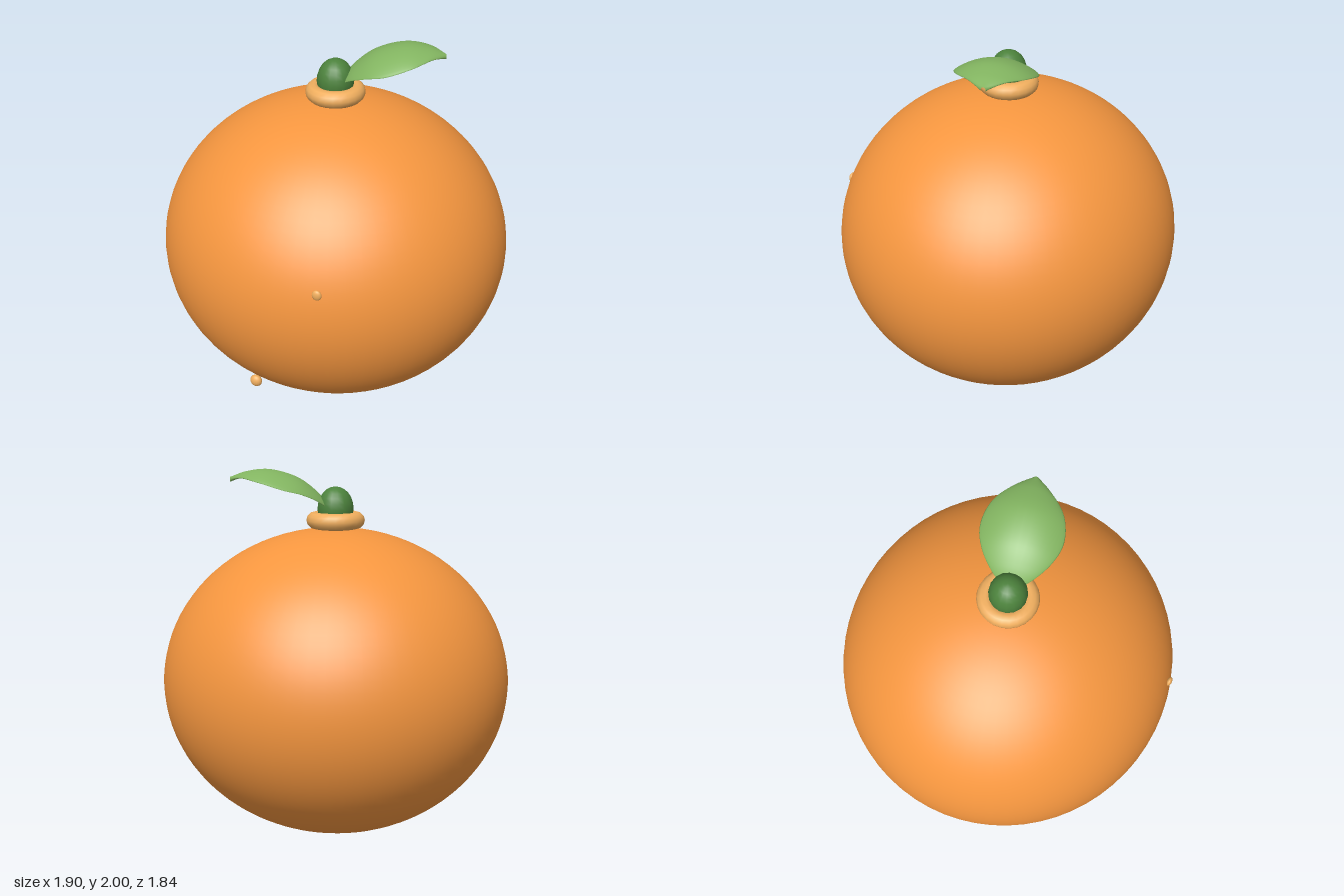
import * as THREE from 'three';
import { ParametricGeometry } from 'three/addons/geometries/ParametricGeometry.js';

const material = (color) => new THREE.MeshStandardMaterial({ color });
const peel = material(0xf5963f);
const pale = material(0xf0ae5e);
const stemGreen = material(0x4c823c);
const leafGreen = material(0x82b460);

function addMesh(parent, name, geometry, mat, x = 0, y = 0, z = 0) {
  const mesh = new THREE.Mesh(geometry, mat);
  mesh.name = name;
  mesh.position.set(x, y, z);
  parent.add(mesh);
  return mesh;
}

function ellipsoid(rx, ry, rz, across = 16, down = 12) {
  return new THREE.SphereGeometry(1, across, down).scale(rx, ry, rz);
}

// Cupped leaf: a thin closed section swept along an arched midrib
function leafGeometry() {
  const spline = (points) =>
    new THREE.CatmullRomCurve3(points.map(([a, b]) => new THREE.Vector3(a, b, 0)));
  const rib = spline([[0.03, 1.79], [0.1, 1.87], [0.2, 1.944], [0.35, 1.987], [0.47, 1.974], [0.55, 1.945]]);
  const outline = spline([[0, 0.04], [0.1, 0.11], [0.25, 0.175], [0.45, 0.21], [0.7, 0.175], [0.9, 0.075], [1, 0.012]]);
  const p = new THREE.Vector3();
  const w = new THREE.Vector3();
  const angle = Math.atan2(0.13, 0.55);

  return new ParametricGeometry((u, v, target) => {
    rib.getPoint(u, p);
    // Find the half width at this distance along the rib
    const along = (p.x - 0.03) / 0.52;
    let lo = 0, hi = 1;
    for (let i = 0; i < 20; i++) {
      const mid = (lo + hi) / 2;
      if (outline.getPoint(mid, w).x < along) lo = mid; else hi = mid;
    }
    const t = v * Math.PI * 2;
    const side = Math.cos(t) * w.y;
    const droop = 1.5 * side * side;
    const thickness = 0.013 * Math.sin(t);
    const length = p.x / Math.cos(angle);
    target.set(
      length * Math.cos(angle) + side * Math.sin(angle),
      p.y - droop + thickness,
      -length * Math.sin(angle) + side * Math.cos(angle)
    );
  }, 32, 32);
}

export function createModel() {
  const model = new THREE.Group();
  model.name = 'orangeFruit';

  // Slightly squashed fruit
  addMesh(model, 'fruitBody', ellipsoid(0.95, 0.84, 0.92, 64, 48), peel, 0, 0.845, 0);

  // Collar and rounded stem
  const collar = new THREE.TorusGeometry(0.113, 0.045, 12, 24).rotateX(Math.PI / 2);
  addMesh(model, 'stemCollar', collar, pale, 0, 1.728, 0);
  addMesh(model, 'stem', ellipsoid(0.098, 0.118, 0.098), stemGreen, 0, 1.79, 0);

  addMesh(model, 'leaf', leafGeometry(), leafGreen);

  // Small pores on the front
  addMesh(model, 'upperPore', ellipsoid(0.025, 0.028, 0.014), pale, 0.22, 1.055, 0.874);
  addMesh(model, 'lowerPore', ellipsoid(0.032, 0.033, 0.023), pale, -0.125, 0.435, 0.865);

  return model;
}
